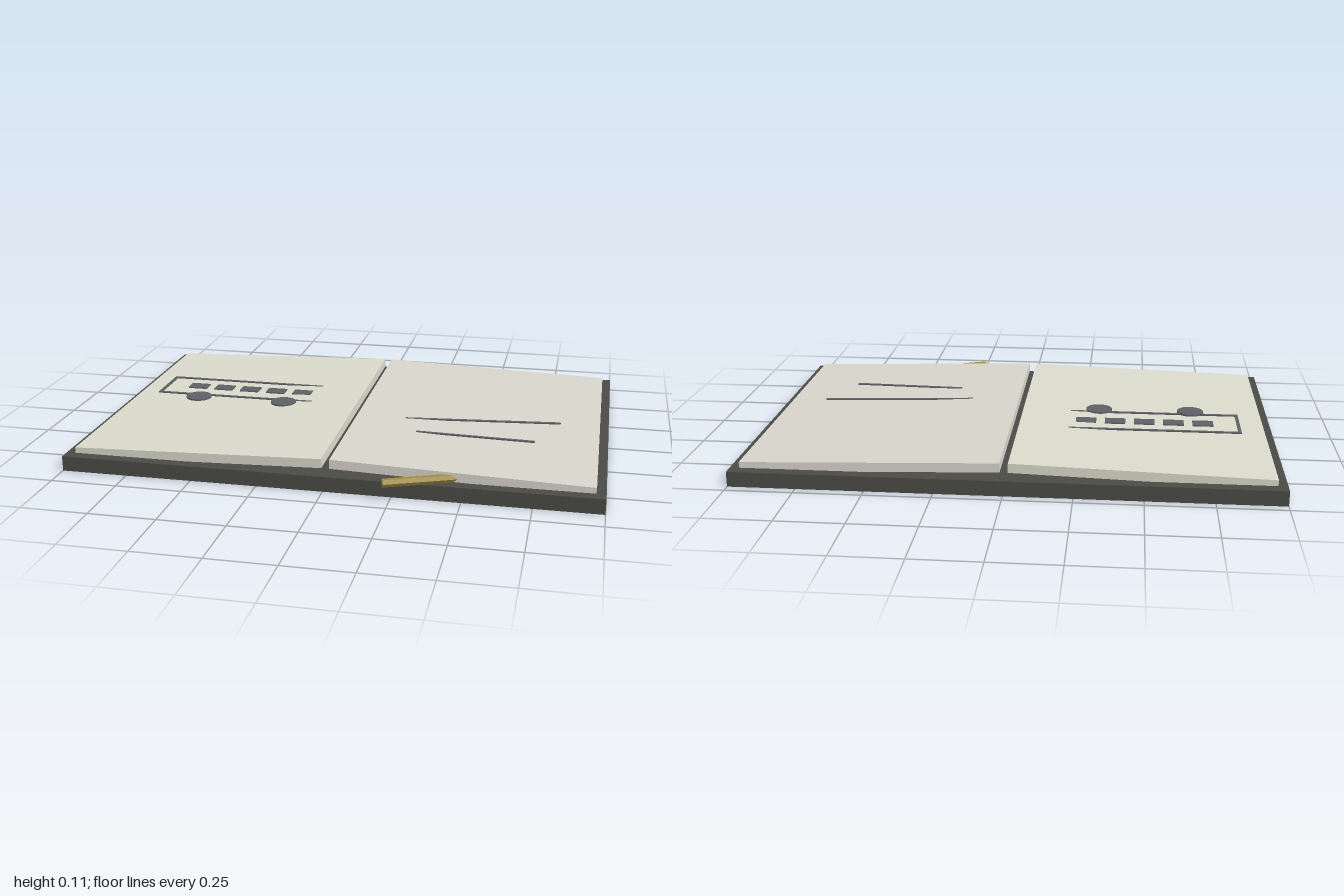
import * as THREE from 'three';

const material = (color) => new THREE.MeshStandardMaterial({ color });

export function createModel() {
  const book = new THREE.Group();
  book.name = 'openSketchbook';
  const coverMat = material(0x4a4a46);
  const inkMat = material(0x606166);
  const goldMat = material(0xa08a3c);

  const add = (name, geometry, mat, x, y, z, parent = book) => {
    const mesh = new THREE.Mesh(geometry, mat);
    mesh.name = name;
    mesh.position.set(x, y, z);
    parent.add(mesh);
    return mesh;
  };
  const box = (name, w, h, d, mat, x, y, z, parent) =>
    add(name, new THREE.BoxGeometry(w, h, d), mat, x, y, z, parent);

  // Cover slab
  box('cover', 2, 0.057, 1.365, coverMat, 0, 0.0285, -0.0325);

  // Page blocks, rising towards the spine
  const tilt = 0.03;
  const pageColors = { '-1': 0xdadacc, '1': 0xd8d5cc };
  for (const side of [-1, 1]) {
    const page = box(side < 0 ? 'rightPage' : 'leftPage', 0.951, 0.035, 1.275,
      material(pageColors[side]), side * 0.49, 0.0755, -0.0325);
    page.rotation.z = -side * tilt;
  }

  // Bus drawing: flat strokes that sink into the page near the spine
  const bus = new THREE.Group();
  bus.name = 'busDrawing';
  bus.position.set(-0.5, 0.099, 0);
  book.add(bus);
  for (const z of [-0.24, -0.035]) {
    box('busOutlineLong', 0.74, 0.005, 0.012, inkMat, 0, 0, z, bus);
  }
  for (const x of [-0.365, 0.365]) {
    box('busOutlineEnd', 0.012, 0.005, 0.217, inkMat, x, 0, -0.1375, bus);
  }
  for (let i = -2; i <= 2; i++) {
    box('busWindow', 0.08, 0.005, 0.057, inkMat, i * 0.114, 0, -0.143, bus);
  }
  for (const x of [-0.184, 0.181]) {
    add('busWheel', new THREE.CylinderGeometry(0.052, 0.052, 0.007, 24), inkMat, x, 0.0015, -0.006, bus);
  }

  // Loose strokes on the other page
  box('longStroke', 0.63, 0.005, 0.012, inkMat, 0.5, 0.099, 0.057).rotation.y = 0.103;
  box('shortStroke', 0.455, 0.005, 0.012, inkMat, 0.5, 0.099, 0.24).rotation.y = -0.047;

  // Six-sided pencil tucked under the page edge
  const pencilLength = 0.46;
  const pencilGeometry = new THREE.CylinderGeometry(0.016, 0.016, pencilLength, 6).toNonIndexed();
  pencilGeometry.computeVertexNormals();
  pencilGeometry.rotateZ(Math.PI / 2);
  pencilGeometry.translate(pencilLength / 2, 0, 0);
  const pencil = add('pencil', pencilGeometry, goldMat, 0.226, 0.07, 0.693);
  pencil.rotation.y = 0.39;

  return book;
}
